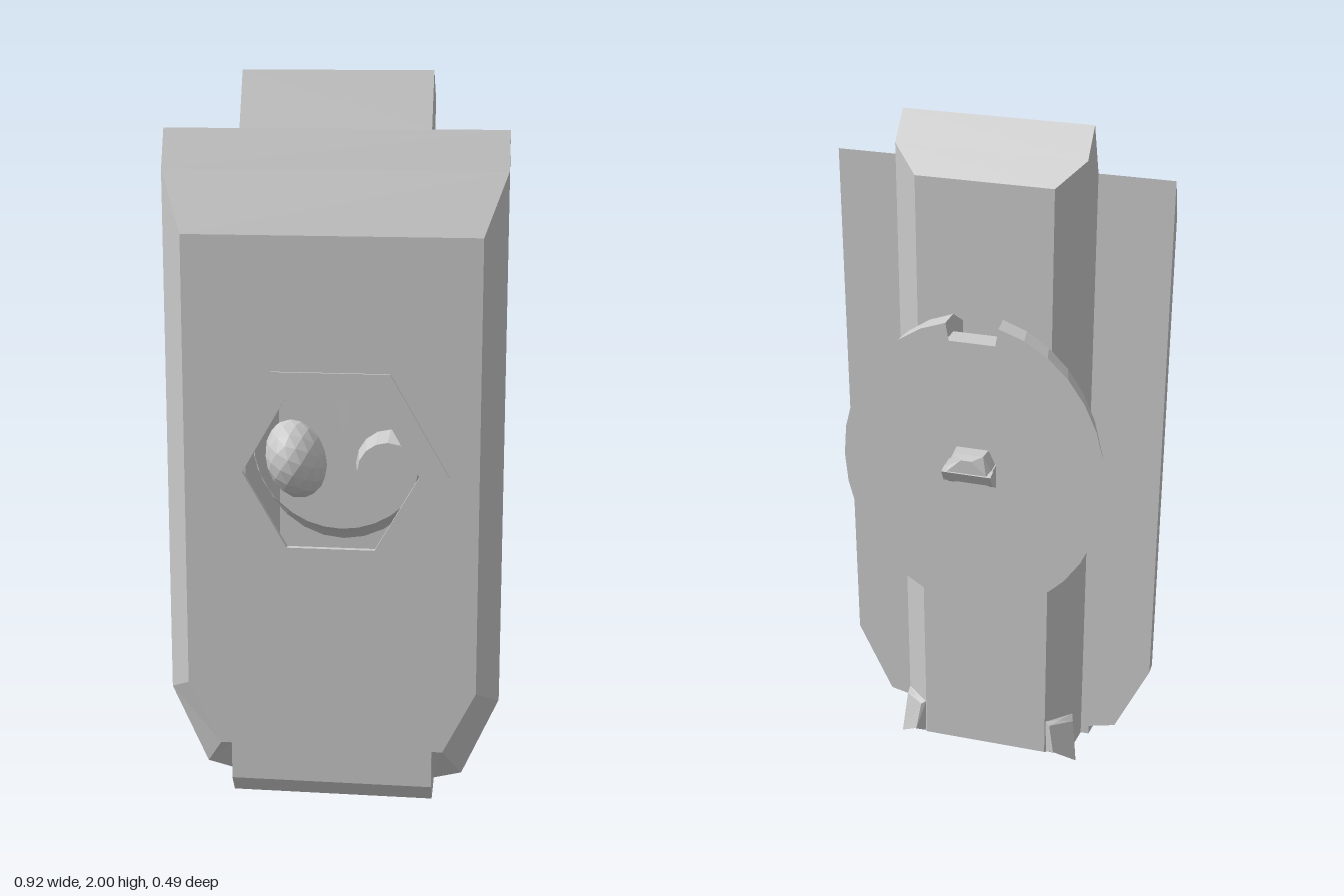
import * as THREE from 'three';

const mat = new THREE.MeshStandardMaterial({ color: 0xcccccc, flatShading: true, side: THREE.DoubleSide });

function add(group, name, geo) {
  const m = new THREE.Mesh(geo, mat);
  m.name = name;
  group.add(m);
  return m;
}

// Closed rings of [x, y, z] joined by quads, with optional fan caps
function loft(rings, capStart = false, capEnd = false) {
  const pos = [];
  const tri = (a, b, c) => pos.push(...a, ...b, ...c);
  const n = rings[0].length;
  for (let r = 0; r < rings.length - 1; r++) {
    for (let i = 0; i < n; i++) {
      const j = (i + 1) % n, A = rings[r], B = rings[r + 1];
      tri(A[i], A[j], B[j]);
      tri(A[i], B[j], B[i]);
    }
  }
  const cap = (ring, flip) => {
    const c = [0, 1, 2].map(k => ring.reduce((s, p) => s + p[k], 0) / n);
    ring.forEach((p, i) => {
      const q = ring[(i + 1) % n];
      flip ? tri(c, q, p) : tri(c, p, q);
    });
  };
  if (capStart) cap(rings[0], true);
  if (capEnd) cap(rings[rings.length - 1], false);
  const g = new THREE.BufferGeometry();
  g.setAttribute('position', new THREE.Float32BufferAttribute(pos, 3));
  g.computeVertexNormals();
  return g;
}

// Right half of an outline, bottom to top, mirrored into a full ring
const mirrorRing = (half, z) => [
  ...half.map(([x, y]) => [x, y, z]),
  ...half.slice().reverse().map(([x, y]) => [-x, y, z]),
];
const toShape = pts => new THREE.Shape(pts.map(p => new THREE.Vector2(p[0], p[1])));
const hexagon = r => Array.from({ length: 6 }, (_, k) =>
  new THREE.Vector2(r * Math.cos(k * Math.PI / 3), 0.94 + r * Math.sin(k * Math.PI / 3)));

// Extrudes a [z, y] side profile across the width, centred on x
function acrossX(profile, width, x = 0) {
  const g = new THREE.ExtrudeGeometry(toShape(profile.map(([z, y]) => [-z, y])), { depth: width, bevelEnabled: false });
  return g.rotateY(Math.PI / 2).translate(x - width / 2, 0, 0);
}

export function createModel() {
  const model = new THREE.Group();
  model.name = 'panelWithDish';

  // Chamfered front plate with a slanted top
  const back = top => [[0.28, 0.05], [0.36, 0.07], [0.46, 0.29], [0.46, top]];
  const front = [[0.28, 0.155], [0.31, 0.155], [0.40, 0.33], [0.40, 1.58]];
  add(model, 'plateSides', loft([
    mirrorRing(back(1.85), 0.13), mirrorRing(back(1.745), 0.17), mirrorRing(front, 0.235)]));
  const face = toShape(mirrorRing(front, 0));
  face.holes.push(new THREE.Path(hexagon(0.24)));
  add(model, 'plateFace', new THREE.ShapeGeometry(face).translate(0, 0, 0.235));
  for (const s of [1, -1]) {
    const wing = [[0.25, 0.05], ...back(1.85), [0.25, 1.85]].map(([x, y]) => [x * s, y]);
    const g = new THREE.ShapeGeometry(toShape(wing));
    g.rotateY(Math.PI).scale(-1, 1, 1).translate(0, 0, 0.13);
    add(model, 'wingBack', g);
  }

  // Block under the plate
  add(model, 'bottomBlock', acrossX([[0.235, 0.05], [0.2, 0], [0.13, 0.02], [0.13, 0.155], [0.235, 0.155]], 0.56));

  // Hollow spine, open towards the window
  const spine = [[0.13, 0.255, 0.02, 1.85], [0.07, 0.255, 0.038, 2], [0, 0.255, 0.058, 1.93], [-0.06, 0.185, 0.075, 1.87]];
  add(model, 'spine', loft(spine.map(([z, x, b, t]) => mirrorRing([[x, b], [x, t]], z)), false, true));

  // Raised hexagonal window rim
  const rim = new THREE.Shape(hexagon(0.32));
  rim.holes.push(new THREE.Path(hexagon(0.24)));
  add(model, 'windowRim', new THREE.ExtrudeGeometry(rim, { depth: 0.017, bevelEnabled: false }).translate(0, 0, 0.225));

  // Oval dish with a notch at the top of its edge
  const dishRing = ([z, rx, ry, cy]) => {
    const ring = [];
    for (let k = 0; k < 32; k++) {
      if (k === 8) continue;
      const a = k * Math.PI / 16;
      const p = [rx * Math.cos(a), cy + ry * Math.sin(a), z];
      const low = [p[0], p[1] - 0.05, z];
      if (k === 7) ring.push(p, low);
      else if (k === 9) ring.push(low, p);
      else ring.push(p);
    }
    return ring;
  };
  add(model, 'dish', loft([
    [-0.178, 0.365, 0.44, 1.09], [-0.12, 0.345, 0.435, 1.095], [-0.06, 0.3, 0.405, 1.08],
    [-0.03, 0.277, 0.33, 1.03], [0, 0.25, 0.25, 0.97]].map(dishRing), true));

  // Two lobes seen through the window
  const lobe = add(model, 'roundLobe', new THREE.IcosahedronGeometry(1, 2));
  lobe.scale.set(0.085, 0.115, 0.12);
  lobe.position.set(-0.135, 0.91, -0.05);
  lobe.rotation.z = 0.3;
  const stub = add(model, 'flatLobe', new THREE.CylinderGeometry(0.085, 0.1, 0.11, 16));
  stub.rotation.x = Math.PI / 2;
  stub.position.set(0.135, 0.9, -0.01);

  // Bracket handle on the back of the dish
  add(model, 'handleBar', acrossX([[-0.205, 1.085], [-0.225, 1.08], [-0.244, 1.115], [-0.215, 1.12]], 0.136));
  add(model, 'handleHood', loft([
    mirrorRing([[0.065, 1.115], [0.045, 1.16]], -0.17),
    mirrorRing([[0.065, 1.115], [0.04, 1.16]], -0.215),
    mirrorRing([[0.055, 1.115], [0.015, 1.155]], -0.24)], false, true));
  for (const s of [1, -1]) {
    add(model, 'handleArm', acrossX([[-0.17, 1.045], [-0.18, 1.05], [-0.222, 1.08], [-0.215, 1.12], [-0.17, 1.12]], 0.018, s * 0.057));
  }

  // Wedge feet at the lower back corners of the spine
  for (const s of [1, -1]) {
    const foot = [[0.19, -0.055], [0.26, 0], [0.275, -0.025], [0.215, -0.072]];
    const ring = ys => foot.map(([x, z], i) => [x * s, ys[i], z]);
    add(model, 'foot', loft([ring([0.075, 0.04, 0.035, 0.09]),
      [[0.185 * s, 0.19, -0.058], [0.255 * s, 0.19, 0], [0.26 * s, 0.17, -0.01], [0.2 * s, 0.18, -0.064]]], true, true));
  }
  return model;
}
